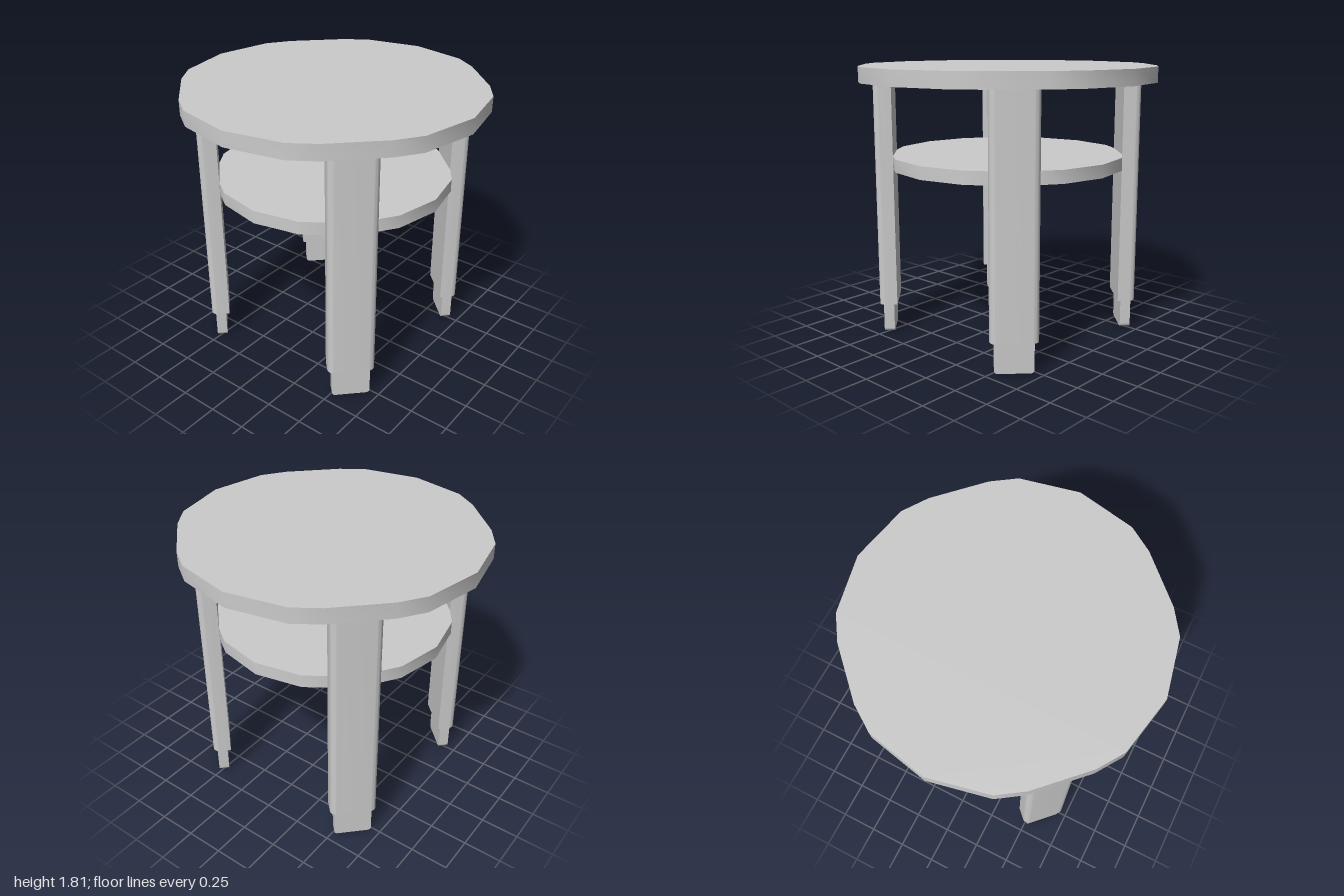
import * as THREE from 'three';
import { toCreasedNormals } from 'three/addons/utils/BufferGeometryUtils.js';

const material = new THREE.MeshStandardMaterial({ color: 0xcccccc });

function makeMesh(name, geometry) {
  const mesh = new THREE.Mesh(toCreasedNormals(geometry, THREE.MathUtils.degToRad(32)), material);
  mesh.name = name;
  return mesh;
}

// Upright prism: the shape's y axis points to -z, the depth goes up from y0 to y1
function prism(shape, y0, y1) {
  return new THREE.ExtrudeGeometry(shape, { depth: y1 - y0, bevelEnabled: false, curveSegments: 6 })
    .rotateX(-Math.PI / 2).translate(0, y0, 0);
}

// Disc outline with a flat on each diagonal, where the legs attach
function discShape(radius) {
  const corners = [[1, 0], [0.92, 0.383], [0.815, 0.54], [0.54, 0.815], [0.383, 0.92]];
  const points = [];
  for (let q = 0; q < 4; q++) {
    for (const [x, y] of corners) {
      points.push(new THREE.Vector2(x, y).multiplyScalar(radius)
        .rotateAround(new THREE.Vector2(), q * Math.PI / 2));
    }
  }
  return new THREE.Shape(points);
}

// Rectangle whose two lower corners are rounded
function roundedBottom(width, y0, y1, r) {
  const w = width / 2;
  const shape = new THREE.Shape();
  shape.moveTo(-w, y1);
  shape.lineTo(-w, y0 + r);
  shape.absarc(-w + r, y0 + r, r, Math.PI, Math.PI * 1.5, false);
  shape.lineTo(w - r, y0);
  shape.absarc(w - r, y0 + r, r, Math.PI * 1.5, Math.PI * 2, false);
  shape.lineTo(w, y1);
  shape.closePath();
  return shape;
}

export function createModel() {
  const model = new THREE.Group();
  model.name = 'roundTable';

  // Top and lower shelf share one outline
  model.add(makeMesh('tableTop', prism(discShape(1), 1.71, 1.81)));
  model.add(makeMesh('shelf', prism(discShape(0.79), 1.14, 1.225)));

  // Plank legs on the diagonals, outer edges rounded, each on a thinner foot
  const legRadius = 0.818;
  const legGeometry = prism(roundedBottom(0.3, -0.06, 0.06, 0.04), 0.2, 1.71);
  const footGeometry = new THREE.ExtrudeGeometry(roundedBottom(0.245, 0, 0.21, 0.022),
    { depth: 0.07, bevelEnabled: false, curveSegments: 6 }).translate(0, 0, -0.035);
  for (let i = 0; i < 4; i++) {
    const leg = new THREE.Group();
    leg.name = 'leg' + (i + 1);
    const post = makeMesh('legPost', legGeometry);
    const foot = makeMesh('foot', footGeometry);
    post.position.z = foot.position.z = legRadius;
    leg.add(post, foot);
    leg.rotation.y = Math.PI / 4 + i * Math.PI / 2;
    model.add(leg);
  }
  return model;
}
